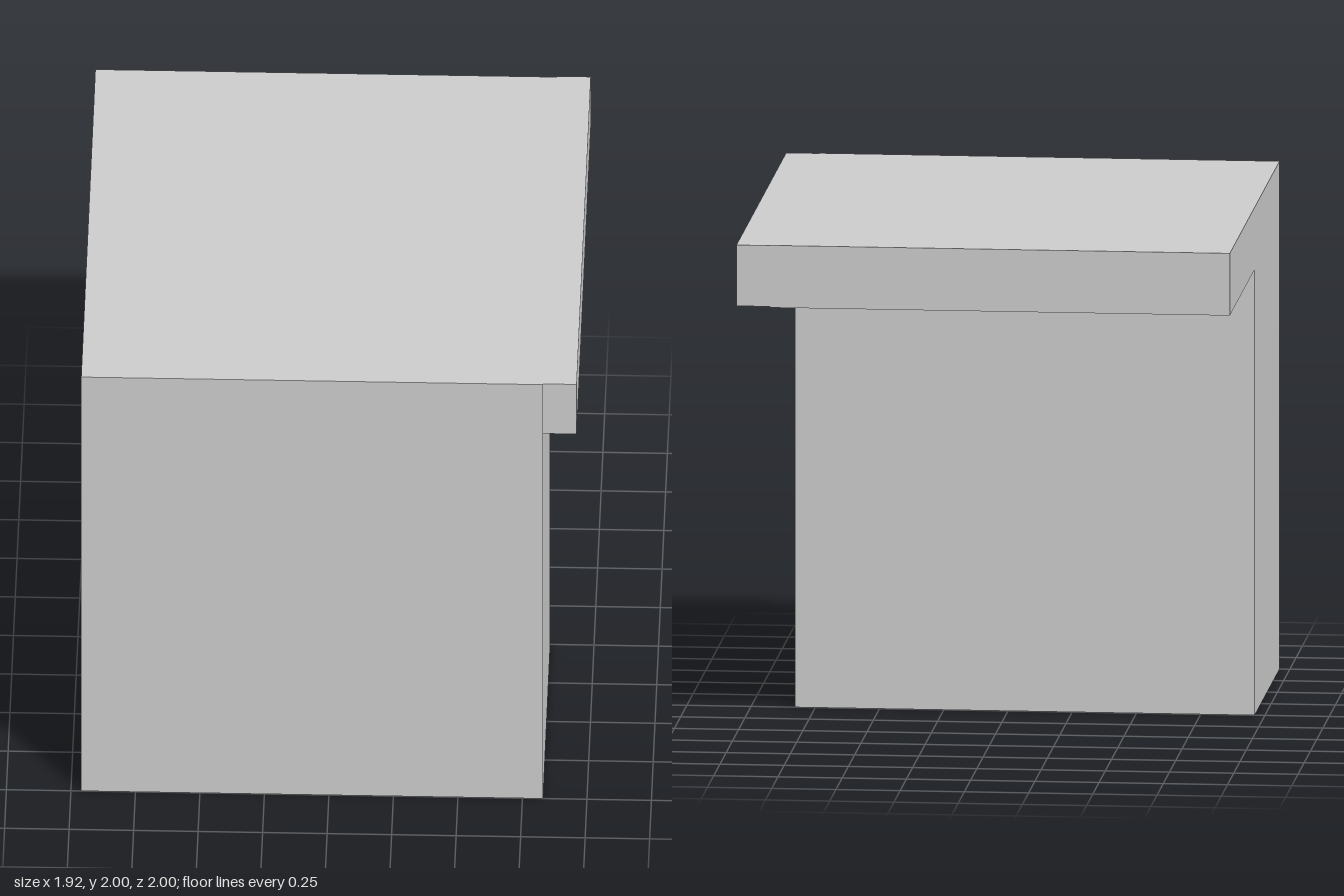
import * as THREE from 'three';

export function createModel() {
  const group = new THREE.Group();
  const material = new THREE.MeshStandardMaterial({ color: 0xcccccc, flatShading: true });

  // Base block and overhanging top as one L-shaped side profile (z, y)
  const profile = new THREE.Shape([
    [1, 0], [1, 2], [-0.995, 2], [-0.995, 1.755], [0, 1.755], [0, 0],
  ].map(([z, y]) => new THREE.Vector2(z, y)));
  const bodyGeometry = new THREE.ExtrudeGeometry(profile, { depth: 1.79, bevelEnabled: false });
  bodyGeometry.rotateY(-Math.PI / 2).translate(0.83, 0, 0);
  const body = new THREE.Mesh(bodyGeometry, material);
  body.name = 'baseWithOverhangingTop';
  group.add(body);

  // Narrow strip along the left edge of the top
  const strip = new THREE.Mesh(new THREE.BoxGeometry(0.13, 0.24, 1.995), material);
  strip.name = 'edgeStrip';
  strip.position.set(0.895, 1.88, -0.0025);
  group.add(strip);

  return group;
}
